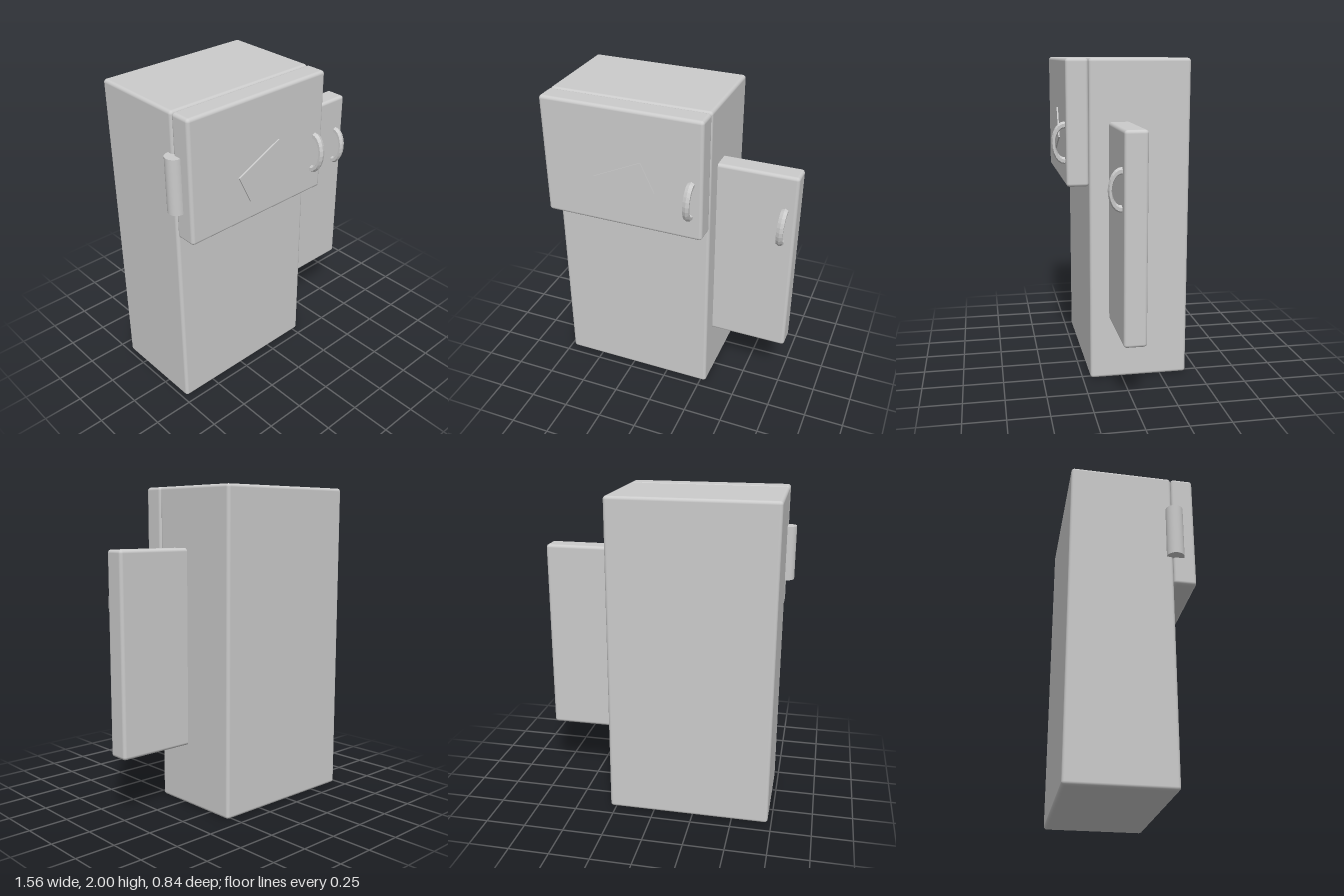
import * as THREE from 'three';
import { RoundedBoxGeometry } from 'three/addons/geometries/RoundedBoxGeometry.js';

export function createModel() {
  const model = new THREE.Group();
  model.name = 'refrigerator';
  const smooth = new THREE.MeshStandardMaterial({ color: 0xcccccc });
  const faceted = new THREE.MeshStandardMaterial({ color: 0xcccccc, flatShading: true });

  function add(name, geometry, material = smooth) {
    const mesh = new THREE.Mesh(geometry, material);
    mesh.name = name;
    model.add(mesh);
    return mesh;
  }

  // Rounded slab given by its minimum and maximum corners
  function slab(name, [x0, y0, z0], [x1, y1, z1], radius = 0.02) {
    const geometry = new RoundedBoxGeometry(x1 - x0, y1 - y0, z1 - z0, 4, radius);
    add(name, geometry).position.set((x0 + x1) / 2, (y0 + y1) / 2, (z0 + z1) / 2);
  }

  // Cabinet, closed upper door, and lower door standing out of the side
  slab('cabinet', [-0.727, 0, -0.42], [0.288, 2, 0.201]);
  slab('upperDoor', [-0.727, 1.24, 0.202], [0.288, 2, 0.338]);
  slab('lowerDoor', [-0.235, 0.39, -0.055], [0.78, 1.627, 0.081]);

  // Curved handles: flattened rings half sunk into the doors, slightly tilted
  function handle(name, x, y, z) {
    const ring = new THREE.TorusGeometry(0.108, 0.021, 6, 24);
    ring.scale(0.6, 1, 1.1);
    ring.rotateY(Math.PI / 2);
    ring.rotateZ(-0.05);
    add(name, ring, faceted).position.set(x, y, z);
  }
  handle('upperHandle', 0.215, 1.5, 0.342);
  handle('lowerHandle', 0.705, 1.292, 0.084);

  // Hinge barrel at the door edge
  add('hinge', new THREE.CylinderGeometry(0.053, 0.053, 0.34, 32))
    .position.set(-0.73, 1.588, 0.214);

  // Tilted note on the upper door
  const note = add('note', new THREE.BoxGeometry(0.335, 0.2, 0.009));
  note.position.set(-0.198, 1.53, 0.349);
  note.rotation.z = 0.44;

  return model;
}
